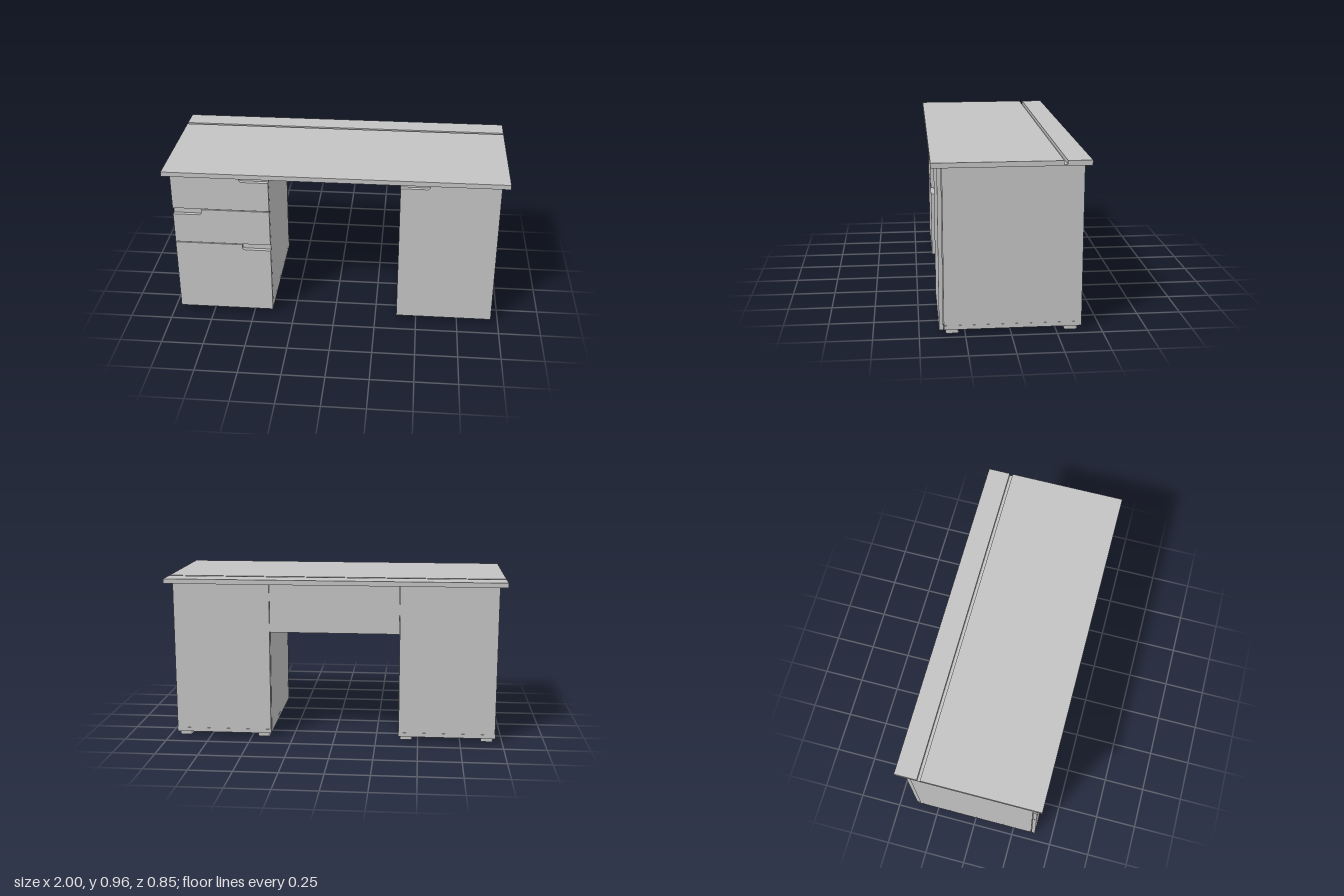
import * as THREE from 'three';

export function createModel() {
  const desk = new THREE.Group();
  desk.name = 'desk';
  const grey = new THREE.MeshStandardMaterial({ color: 0xc4c4c4 });
  grey.name = 'light grey';

  const add = (parent, name, geometry) => {
    const mesh = new THREE.Mesh(geometry, grey);
    mesh.name = name;
    parent.add(mesh);
    return mesh;
  };
  // Box given by its two extreme corners
  const box = (parent, name, x0, x1, y0, y1, z0, z1) =>
    add(parent, name, new THREE.BoxGeometry(x1 - x0, y1 - y0, z1 - z0))
      .position.set((x0 + x1) / 2, (y0 + y1) / 2, (z0 + z1) / 2);

  // Desktop: side profile with a cable groove, extruded along x
  const profile = new THREE.Shape([
    [-0.425, 0.935], [0.422, 0.935], [0.422, 0.963], [0.29, 0.963],
    [0.29, 0.942], [0.271, 0.942], [0.271, 0.963], [-0.425, 0.963],
  ].map(([a, b]) => new THREE.Vector2(a, b)));
  const top = new THREE.ExtrudeGeometry(profile, { depth: 2, bevelEnabled: false });
  top.rotateY(Math.PI / 2).translate(-1, 0, 0);
  add(desk, 'desktop', top);

  // Front panel with a rounded finger notch in its top corner
  const HALF = 0.2875, NOTCH_W = 0.17, NOTCH_H = 0.035, R = 0.018;
  function frontPanel(parent, name, y0, y1, side) {
    const s = new THREE.Shape();
    const edge = side * HALF, inner = side * (HALF - NOTCH_W), low = y1 - NOTCH_H;
    s.moveTo(-edge, y0);
    s.lineTo(edge, y0);
    s.lineTo(edge, low);
    s.lineTo(inner + side * R, low);
    s.quadraticCurveTo(inner, low, inner, low + R);
    s.lineTo(inner, y1);
    s.lineTo(-edge, y1);
    s.closePath();
    const g = new THREE.ExtrudeGeometry(s, { depth: 0.023, bevelEnabled: false, curveSegments: 6 });
    add(parent, name, g).position.z = 0.369;
  }

  // Foot: rounded square pad
  function footGeometry() {
    const h = 0.036, r = 0.014, s = new THREE.Shape();
    s.absarc(h - r, h - r, r, 0, Math.PI / 2);
    s.absarc(r - h, h - r, r, Math.PI / 2, Math.PI);
    s.absarc(r - h, r - h, r, Math.PI, Math.PI * 1.5);
    s.absarc(h - r, r - h, r, Math.PI * 1.5, Math.PI * 2);
    s.closePath();
    return new THREE.ExtrudeGeometry(s, { depth: 0.026, bevelEnabled: false, curveSegments: 4 })
      .rotateX(-Math.PI / 2);
  }
  const foot = footGeometry();

  // Pedestal body shared by the drawer unit and the cupboard
  function pedestal(name, x) {
    const p = new THREE.Group();
    p.name = name;
    p.position.x = x;
    box(p, 'carcass', -HALF, HALF, 0.05, 0.935, -0.366, 0.366);
    box(p, 'bottomPlate', -HALF, HALF, 0.025, 0.0495, -0.39, 0.366);
    box(p, 'backPanel', -HALF + 0.002, HALF - 0.002, 0.05, 0.935, -0.39, -0.366);
    for (const fx of [-0.24, 0.24])
      for (const fz of [-0.333, 0.32])
        add(p, 'foot', foot).position.set(fx, 0, fz);
    desk.add(p);
    return p;
  }

  const drawers = pedestal('drawerPedestal', -0.671);
  frontPanel(drawers, 'topDrawer', 0.713, 0.933, 1);
  frontPanel(drawers, 'middleDrawer', 0.485, 0.708, -1);
  frontPanel(drawers, 'bottomDrawer', 0.025, 0.48, 1);

  const cupboard = pedestal('cupboardPedestal', 0.668);
  frontPanel(cupboard, 'door', 0.025, 0.933, -1);

  // Panel across the back of the knee space
  box(desk, 'modestyPanel', -0.3835, 0.3805, 0.648, 0.935, -0.389, -0.366);

  return desk;
}
